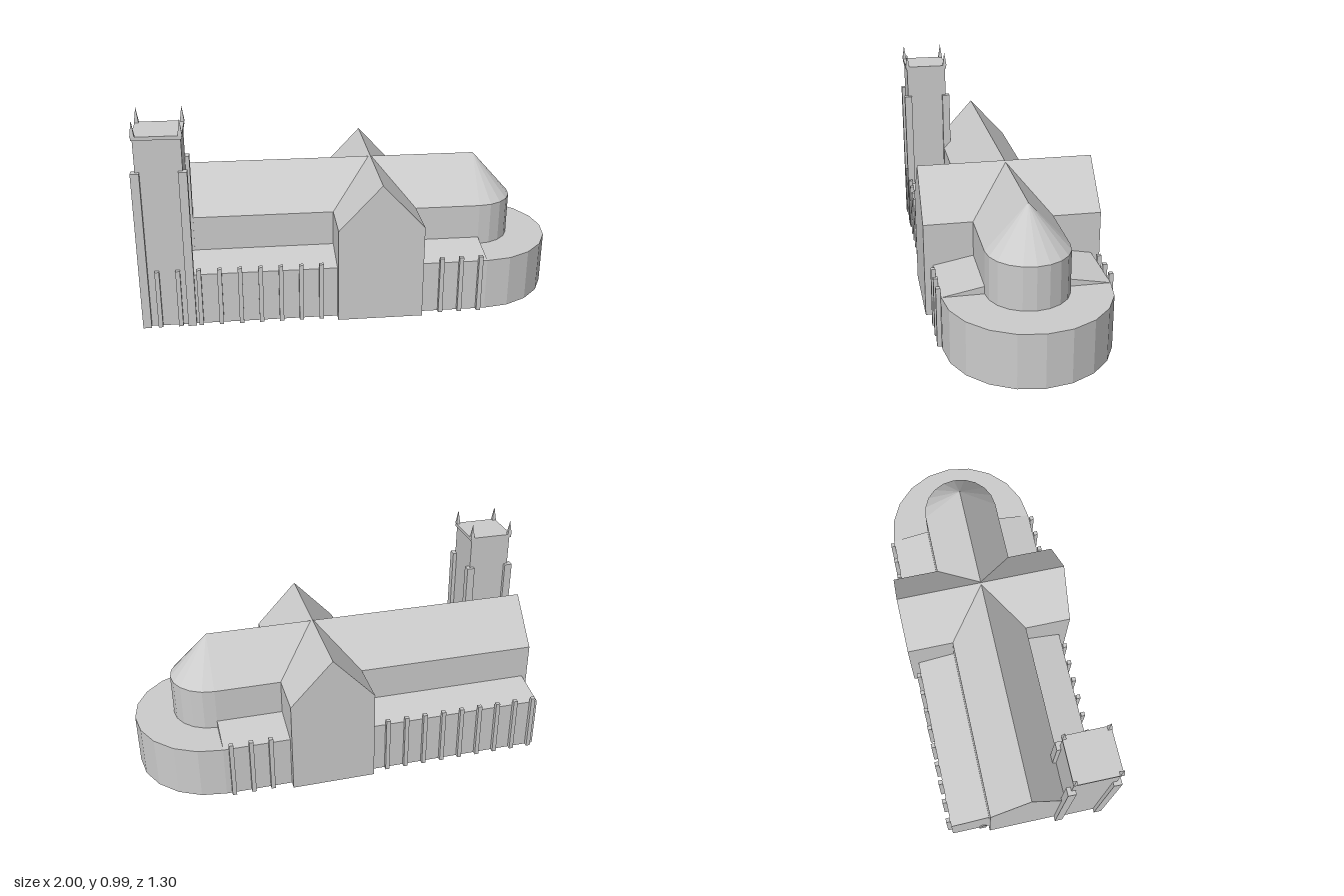
import * as THREE from 'three';

const stone = new THREE.MeshStandardMaterial({ color: 0xcccccc, side: THREE.DoubleSide });
stone.name = 'stone';
stone.flatShading = true;

// Main dimensions, with the crossing at the local origin and the nave along x
const HALF = 0.185, OUTER = 0.37, EAVE = 0.45, RIDGE = 0.655, AISLE = 0.25, AISLE_TOP = 0.285;
const WEST = -1.067, APSE = 0.507, TRANSEPT = 0.197;

function add(parent, name, geometry, x = 0, y = 0, z = 0) {
  const mesh = new THREE.Mesh(geometry, stone);
  mesh.name = name;
  mesh.position.set(x, y, z);
  parent.add(mesh);
  return mesh;
}

// Open-bottomed shell: a [z, y] outline swept along x, with optional end walls
function shell(outline, x0, x1, westCap, eastCap) {
  const pos = [];
  const polygon = (pts) => {
    for (let i = 1; i < pts.length - 1; i++) pos.push(...pts[0], ...pts[i], ...pts[i + 1]);
  };
  const at = (x) => ([z, y]) => [x, y, z];
  for (let i = 0; i < outline.length - 1; i++) {
    const [a, b] = [outline[i], outline[i + 1]];
    polygon([at(x0)(a), at(x0)(b), at(x1)(b), at(x1)(a)]);
  }
  if (westCap) polygon(westCap.map(at(x0)).reverse());
  if (eastCap) polygon(eastCap.map(at(x1)));
  const g = new THREE.BufferGeometry();
  g.setAttribute('position', new THREE.Float32BufferAttribute(pos, 3));
  g.computeVertexNormals();
  return g;
}

const gable = (w, ridge) => [[-w, 0], [-w, EAVE], [0, ridge], [w, EAVE], [w, 0]];

// Lean-to aisle on one side (+1 or -1)
function aisle(side, x0, x1, westWall) {
  const order = (pts) => {
    const placed = pts.map(([z, y]) => [z * side, y]);
    return side > 0 ? placed : placed.reverse();
  };
  const outline = order([[HALF, AISLE_TOP], [OUTER, AISLE], [OUTER, 0]]);
  const wall = order([[HALF, 0], [HALF, AISLE_TOP], [OUTER, AISLE], [OUTER, 0]]);
  const wedge = order([[HALF, AISLE], [HALF, AISLE_TOP], [OUTER, AISLE]]);
  return shell(outline, x0, x1, westWall ? wall : null, wedge);
}

function createTower() {
  const tower = new THREE.Group();
  tower.name = 'tower';
  const h = 0.102;
  const walls = new THREE.CylinderGeometry(h * Math.SQRT2, h * Math.SQRT2, 0.9, 4, 1, true);
  add(tower, 'towerWalls', walls.rotateY(Math.PI / 4), 0, 0.45, 0);
  add(tower, 'towerParapet', new THREE.BoxGeometry(0.216, 0.016, 0.216), 0, 0.907, 0);
  for (const sx of [-1, 1]) for (const sz of [-1, 1]) {
    add(tower, 'towerButtress', new THREE.BoxGeometry(0.038, 0.753, 0.038), sx * h, 0.3765, sz * h);
    const spire = new THREE.ConeGeometry(0.014, 0.07, 4, 1).rotateY(Math.PI / 4);
    add(tower, 'pinnacle', spire, sx * 0.1, 0.95, sz * 0.1);
  }
  tower.position.set(-0.97, 0, 0.27);
  return tower;
}

export function createModel() {
  const model = new THREE.Group();
  model.name = 'church';
  const plan = new THREE.Group();
  plan.name = 'churchBuilding';
  plan.position.set(0.16, 0, 0.09);
  plan.rotation.y = -0.384;
  model.add(plan);

  // Nave and choir under one ridge, crossed by the transept
  const nave = gable(HALF, RIDGE);
  add(plan, 'naveAndChoir', shell(nave, WEST, APSE, nave, null));
  const cross = gable(TRANSEPT, 0.662);
  add(plan, 'transept', shell(cross, -0.41, 0.41, cross, cross)).rotation.y = Math.PI / 2;

  // Aisles
  add(plan, 'northNaveAisle', aisle(-1, -1.042, -TRANSEPT, true));
  add(plan, 'southNaveAisle', aisle(1, -0.87, -TRANSEPT, false));
  for (const side of [-1, 1]) add(plan, 'choirAisle', aisle(side, TRANSEPT, APSE, false));

  // Rounded east end: apse, conical roof and low ambulatory
  const half = [10, 1, true, 0, Math.PI];
  add(plan, 'apseWall', new THREE.CylinderGeometry(HALF, HALF, EAVE, ...half), APSE, EAVE / 2, 0);
  const roofHeight = RIDGE - EAVE;
  add(plan, 'apseRoof', new THREE.ConeGeometry(HALF, roofHeight, ...half), APSE, EAVE + roofHeight / 2, 0);
  add(plan, 'ambulatoryWall', new THREE.CylinderGeometry(OUTER, OUTER, AISLE, ...half), APSE, AISLE / 2, 0);
  const ring = new THREE.RingGeometry(HALF, OUTER, 10, 1, -Math.PI / 2, Math.PI).rotateX(-Math.PI / 2);
  add(plan, 'ambulatoryRoof', ring, APSE, AISLE, 0);

  // Buttresses along both aisles
  const stations = [0.289, 0.38, 0.472];
  for (let i = 0; i < 9; i++) stations.push(-0.272 - i * 0.0925);
  for (const side of [-1, 1]) for (const x of stations) {
    add(plan, 'aisleButtress', new THREE.BoxGeometry(0.02, 0.28, 0.02), x, 0.14, side * 0.38);
  }

  // Small pointed doorway in the west wall of the north aisle
  const arch = new THREE.Shape();
  arch.moveTo(-0.018, 0);
  arch.lineTo(0.018, 0);
  arch.lineTo(0.018, 0.04);
  arch.quadraticCurveTo(0.015, 0.055, 0, 0.065);
  arch.quadraticCurveTo(-0.015, 0.055, -0.018, 0.04);
  const door = new THREE.ExtrudeGeometry(arch, { depth: 0.006, bevelEnabled: false, curveSegments: 4 });
  add(plan, 'aisleDoor', door, -1.042, 0, -0.215).rotation.y = -Math.PI / 2;

  plan.add(createTower());
  return model;
}
